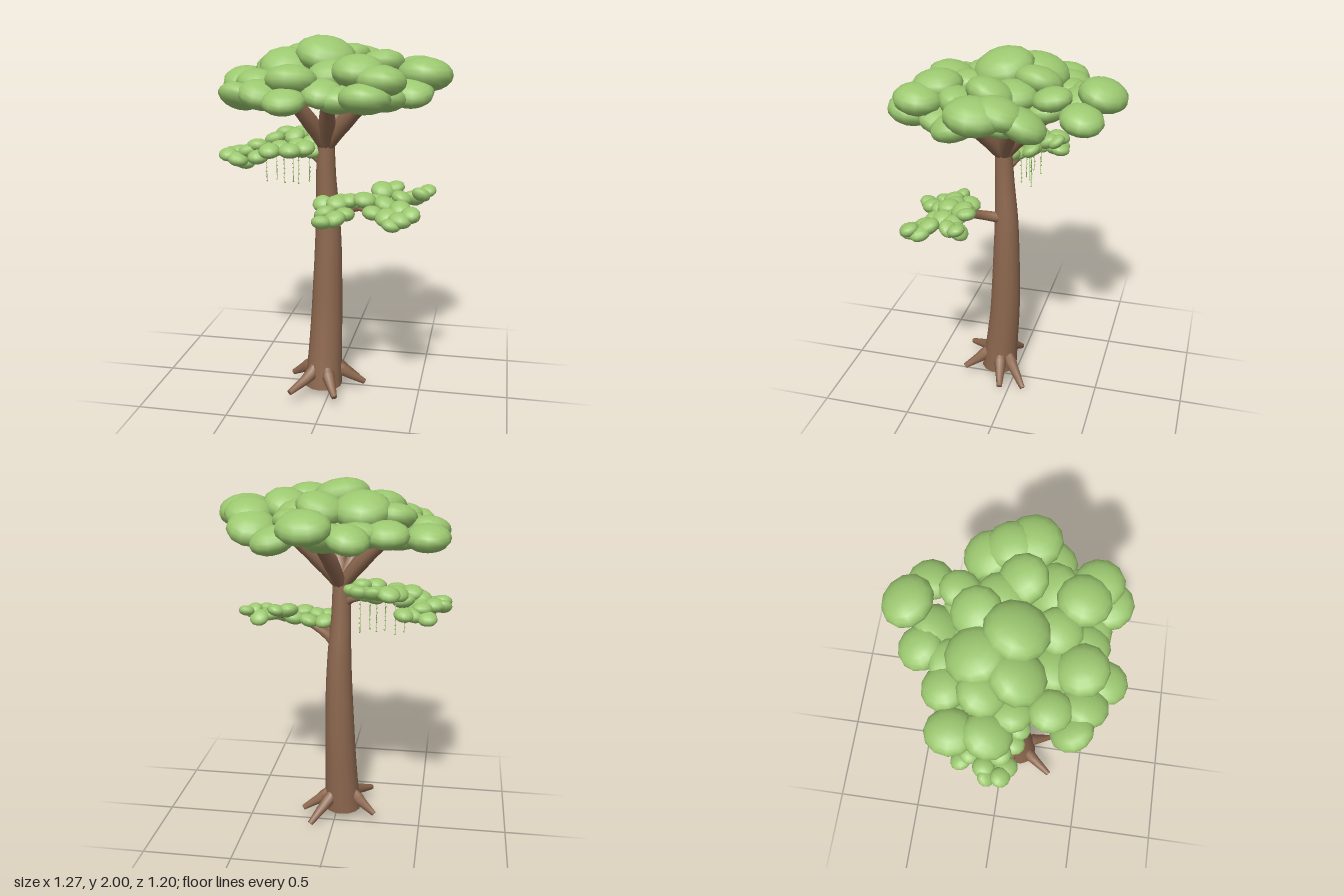
import * as THREE from 'three';

const bark = new THREE.MeshStandardMaterial({ color: 0x8d684f });
bark.name = 'bark brown';
const leaf = new THREE.MeshStandardMaterial({ color: 0x9cc870 });
leaf.name = 'leaf green';

const V = (p) => new THREE.Vector3(...p);

// Small seeded generator for leaf tilts
let seed = 7;
const rnd = () => ((seed = (seed * 16807) % 2147483647) / 2147483647) * 2 - 1;

// Closed limb with a varying radius along a smooth path; points are [x, y, z, radius]
function limb(name, points, sides = 10, steps = 8, level = false) {
  const curve = new THREE.CatmullRomCurve3(points.map(V));
  const frames = curve.computeFrenetFrames(steps);
  const pos = [], idx = [];
  for (let i = 0; i <= steps; i++) {
    const t = i / steps, f = t * (points.length - 1), k = Math.min(Math.floor(f), points.length - 2);
    const r = THREE.MathUtils.lerp(points[k][3], points[k + 1][3], f - k);
    const c = curve.getPoint(t);
    const n = level ? V([0, 0, 1]) : frames.normals[i], b = level ? V([1, 0, 0]) : frames.binormals[i];
    for (let j = 0; j < sides; j++) {
      const a = (j / sides) * Math.PI * 2;
      const p = c.clone().addScaledVector(n, Math.cos(a) * r).addScaledVector(b, Math.sin(a) * r);
      pos.push(p.x, p.y, p.z);
      if (i < steps) {
        const q = i * sides + j, s = i * sides + (j + 1) % sides;
        idx.push(q, s, q + sides, s, s + sides, q + sides);
      }
    }
  }
  // End caps with their own vertices so the rim stays crisp
  for (const end of [0, steps]) {
    const base = pos.length / 3, c = curve.getPoint(end / steps);
    pos.push(...pos.slice(end * sides * 3, (end + 1) * sides * 3), c.x, c.y, c.z);
    for (let j = 0; j < sides; j++) {
      const q = base + j, s = base + (j + 1) % sides;
      idx.push(...(end ? [q, s, base + sides] : [s, q, base + sides]));
    }
  }
  const g = new THREE.BufferGeometry();
  g.setAttribute('position', new THREE.Float32BufferAttribute(pos, 3));
  g.setIndex(idx);
  g.computeVertexNormals();
  const m = new THREE.Mesh(g, bark);
  m.name = name;
  return m;
}

const ball = new THREE.SphereGeometry(1, 12, 10);

// Flattened leaf clumps at [x, y, z, radius]
function foliage(name, list, squash, tilt) {
  const group = new THREE.Group();
  group.name = name;
  for (const [x, y, z, r] of list) {
    const m = new THREE.Mesh(ball, leaf);
    m.name = 'leafClump';
    m.position.set(x, y, z);
    m.scale.set(r * (1 + rnd() * 0.05), r * squash, r * (1 + rnd() * 0.05));
    m.rotation.set(rnd() * tilt, rnd() * 3, rnd() * tilt);
    group.add(m);
  }
  return group;
}

export function createModel() {
  const tree = new THREE.Group();
  tree.name = 'tree';

  // Trunk, leaning slightly and tapering upward
  tree.add(limb('trunk', [
    [-0.04, 0.05, 0.1, 0.105], [-0.033, 0.25, 0.08, 0.095], [-0.028, 0.45, 0.062, 0.088],
    [-0.024, 0.65, 0.054, 0.082], [-0.021, 0.85, 0.05, 0.075], [-0.023, 1.05, 0.05, 0.066],
    [-0.03, 1.25, 0.06, 0.055], [-0.03, 1.48, 0.068, 0.046]], 14, 21, true));

  // Roots: stubby, bent downward toward the tips
  const tips = [[-0.19, 0.075, 0.31], [0.06, 0.06, 0.29], [0.19, 0.05, 0.04],
    [0.13, 0.018, -0.085], [-0.235, 0.058, 0.01]];
  for (const [x, y, z] of tips) {
    const a = Math.atan2(z - 0.09, x + 0.04), c = Math.cos(a), s = Math.sin(a);
    tree.add(limb('root', [
      [-0.04 + c * 0.07, 0.175, 0.09 + s * 0.07, 0.024],
      [-0.04 + c * 0.108, 0.13, 0.09 + s * 0.108, 0.036],
      [x, y, z, 0.016]], 8, 6));
  }

  // Crown branches, thick and flaring out of the trunk top
  const forks = [[0.22, 0.22], [0.21, -0.06], [0.05, -0.2], [-0.28, -0.03], [-0.17, 0.28], [0.03, 0.3]];
  for (const [x, z] of forks) {
    tree.add(limb('crownBranch', [[-0.03, 1.42, 0.068, 0.034],
      [x * 0.45 - 0.016, 1.57, z * 0.45 + 0.037, 0.045], [x, 1.71, z, 0.034]], 8, 6));
  }

  // Side boughs with twigs
  const boughs = [
    [[0, 1.06, 0.08, 0.032], [0.05, 1.09, 0.17, 0.028], [0.17, 1.14, 0.24, 0.018], [0.3, 1.17, 0.27, 0.012]],
    [[0.05, 1.09, 0.17, 0.022], [0.08, 1.12, 0.26, 0.018], [0.07, 1.13, 0.38, 0.01]],
    [[0.17, 1.14, 0.24, 0.014], [0.3, 1.14, 0.33, 0.011], [0.42, 1.13, 0.4, 0.008]],
    [[0.3, 1.17, 0.27, 0.012], [0.4, 1.19, 0.22, 0.01], [0.5, 1.2, 0.17, 0.007]],
    [[-0.05, 1.33, 0.06, 0.024], [-0.12, 1.37, 0.02, 0.02], [-0.3, 1.38, -0.01, 0.014], [-0.48, 1.35, 0, 0.008]],
    [[-0.15, 1.375, 0.01, 0.012], [-0.22, 1.42, -0.08, 0.01], [-0.28, 1.45, -0.18, 0.007]],
  ];
  for (const b of boughs) tree.add(limb('bough', b, 8, 8));

  // Crown: wide overlapping clumps, highest in the middle
  tree.add(foliage('crownTop', [
    [0.08, 1.84, -0.475, 0.135], [0.18, 1.83, -0.24, 0.103], [-0.32, 1.83, -0.06, 0.12],
    [-0.16, 1.87, -0.11, 0.15], [0.05, 1.88, -0.14, 0.125], [-0.03, 1.91, 0.06, 0.16],
    [-0.23, 1.85, 0.09, 0.15], [0.49, 1.82, 0.07, 0.15], [0.45, 1.83, -0.04, 0.125],
    [0.26, 1.86, 0.05, 0.13], [0.19, 1.86, 0.35, 0.137], [0.31, 1.82, 0.41, 0.13],
    [-0.14, 1.81, 0.38, 0.135], [-0.35, 1.79, 0.26, 0.105], [0.03, 1.83, 0.25, 0.12],
    [0.17, 1.83, -0.04, 0.13], [0.26, 1.79, 0.19, 0.135]], 0.59, 0.3));
  tree.add(foliage('crownRim', [
    [-0.12, 1.77, -0.385, 0.115], [0.245, 1.76, -0.4, 0.117], [0, 1.76, -0.32, 0.12],
    [-0.5, 1.75, -0.18, 0.122], [-0.3, 1.77, -0.24, 0.117], [-0.495, 1.76, -0.01, 0.122],
    [-0.36, 1.76, 0.08, 0.115], [0.41, 1.77, -0.14, 0.13], [0.43, 1.74, 0.18, 0.12],
    [0.24, 1.74, 0.47, 0.13], [-0.41, 1.725, 0.37, 0.108], [-0.29, 1.74, 0.41, 0.12],
    [-0.15, 1.72, 0.5, 0.105], [0.02, 1.75, 0.4, 0.11], [0.1, 1.72, 0.39, 0.115]], 0.59, 0.3));
  tree.add(foliage('crownUnderside', [
    [-0.13, 1.77, 0.25, 0.125], [0.1, 1.73, 0.08, 0.14], [-0.16, 1.73, 0.05, 0.14],
    [0.27, 1.73, -0.04, 0.13], [-0.34, 1.72, -0.03, 0.125], [-0.02, 1.74, -0.15, 0.135],
    [0.3, 1.72, 0.29, 0.125], [-0.24, 1.71, 0.24, 0.125], [-0.17, 1.76, -0.22, 0.12],
    [0.14, 1.76, -0.2, 0.12], [0.04, 1.73, 0.24, 0.13]], 0.55, 0.2));

  // Foliage on the left, lower bough
  tree.add(foliage('lowerFoliage', [
    [0, 1.17, 0.3, 0.053], [0.03, 1.14, 0.38, 0.06], [0.08, 1.18, 0.32, 0.058],
    [0.09, 1.13, 0.44, 0.06], [0.03, 1.12, 0.48, 0.052], [0.13, 1.14, 0.38, 0.056],
    [0.09, 1.17, 0.22, 0.055], [0.14, 1.19, 0.29, 0.056], [0.18, 1.17, 0.22, 0.056],
    [0.22, 1.2, 0.3, 0.06], [0.27, 1.18, 0.24, 0.064], [0.3, 1.23, 0.2, 0.062],
    [0.33, 1.18, 0.3, 0.06], [0.27, 1.15, 0.36, 0.056], [0.35, 1.14, 0.4, 0.06],
    [0.41, 1.17, 0.35, 0.06], [0.42, 1.14, 0.44, 0.062], [0.46, 1.15, 0.38, 0.055],
    [0.38, 1.12, 0.47, 0.05], [0.47, 1.17, 0.43, 0.05], [0.4, 1.2, 0.22, 0.055],
    [0.46, 1.19, 0.17, 0.055], [0.5, 1.22, 0.21, 0.05], [0.53, 1.23, 0.16, 0.045],
    [0.36, 1.24, 0.16, 0.05]], 0.66, 0.4));

  // Foliage on the right, upper bough
  tree.add(foliage('upperFoliage', [
    [-0.095, 1.4, 0.05, 0.06], [-0.14, 1.42, 0.1, 0.06], [-0.17, 1.39, 0.03, 0.06],
    [-0.21, 1.41, 0.15, 0.062], [-0.22, 1.4, -0.05, 0.06], [-0.14, 1.42, -0.06, 0.053],
    [-0.25, 1.44, -0.13, 0.06], [-0.31, 1.45, -0.18, 0.06], [-0.23, 1.45, -0.18, 0.05],
    [-0.3, 1.4, 0.02, 0.062], [-0.35, 1.43, -0.08, 0.06], [-0.33, 1.4, 0.12, 0.06],
    [-0.38, 1.38, -0.03, 0.062], [-0.42, 1.41, 0.03, 0.06], [-0.4, 1.36, 0.1, 0.06],
    [-0.47, 1.38, 0.04, 0.062], [-0.46, 1.34, -0.04, 0.064], [-0.44, 1.33, -0.13, 0.06],
    [-0.52, 1.34, 0.08, 0.06], [-0.51, 1.32, -0.15, 0.055], [-0.54, 1.36, -0.03, 0.06],
    [-0.5, 1.31, 0.02, 0.055], [-0.58, 1.36, 0.06, 0.053], [-0.585, 1.35, -0.01, 0.05],
    [-0.39, 1.34, -0.17, 0.055], [-0.48, 1.36, -0.11, 0.055]], 0.64, 0.4));

  // Hanging vines: thin stems beaded with tiny leaves
  const stem = new THREE.CylinderGeometry(0.0018, 0.0018, 0.19, 5);
  const bead = new THREE.OctahedronGeometry(0.006);
  const vines = [[-0.385, -0.02], [-0.34, -0.07], [-0.28, 0], [-0.235, -0.03], [-0.195, 0.01], [-0.15, -0.06]];
  for (const [x, z] of vines) {
    const vine = new THREE.Group();
    vine.name = 'vine';
    const s = new THREE.Mesh(stem, leaf);
    s.name = 'vineStem';
    vine.add(s);
    for (let i = 0; i < 7; i++) {
      const m = new THREE.Mesh(bead, leaf);
      m.name = 'vineLeaf';
      m.position.set(rnd() * 0.004, -0.092 + i * 0.026, rnd() * 0.004);
      m.rotation.y = i;
      vine.add(m);
    }
    vine.position.set(x, 1.295, z);
    tree.add(vine);
  }
  return tree;
}
